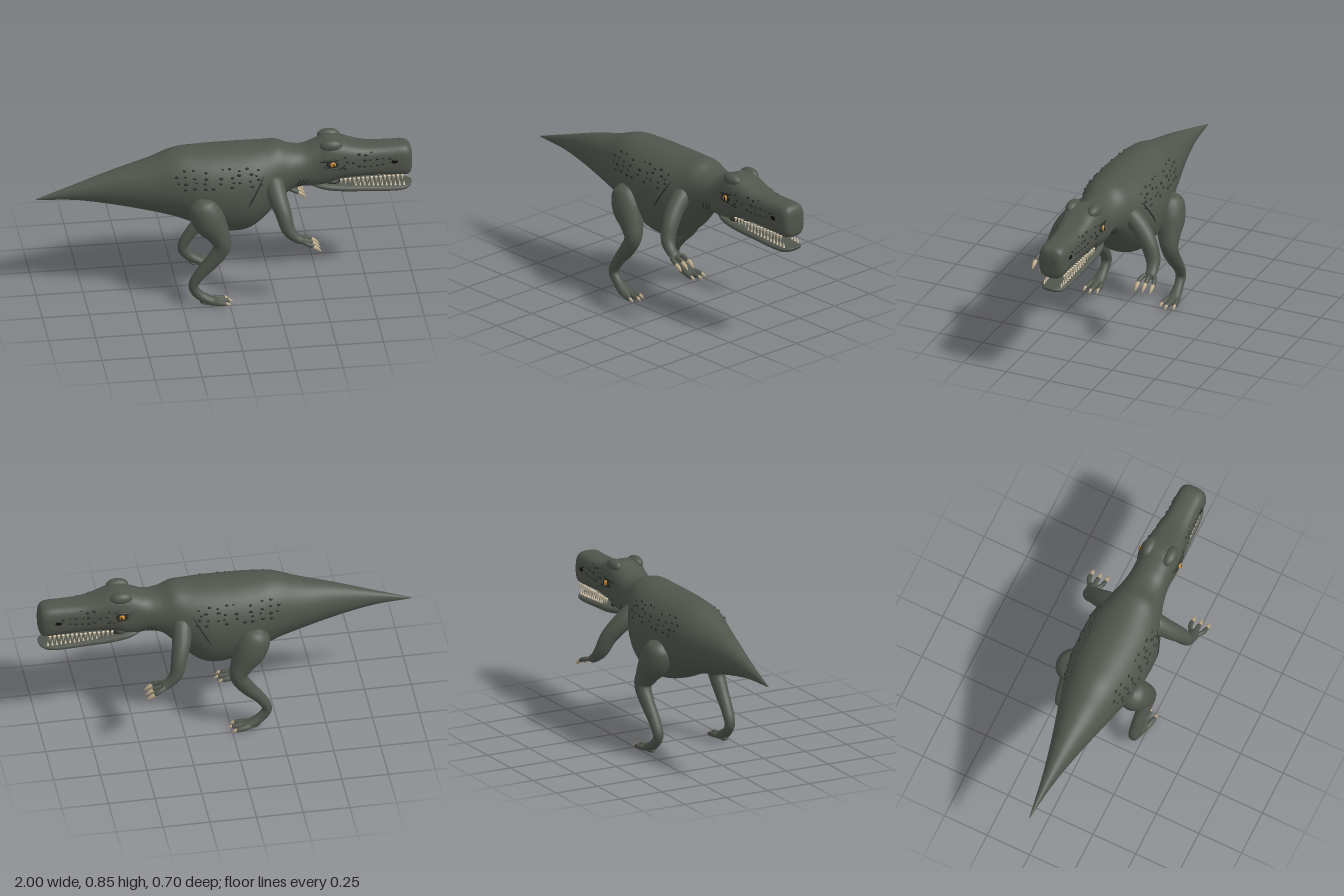
import * as THREE from 'three';

const V = (x, y, z) => new THREE.Vector3(x, y, z);
const mat = (name, color) => Object.assign(new THREE.MeshStandardMaterial({ color }), { name });

// Closed skin over a list of rings, smooth all round
function skin(rings) {
  const n = rings[0].length, index = [];
  const ends = [rings[0], rings[rings.length - 1]].map((r) =>
    r.reduce((s, p) => s.add(p), V(0, 0, 0)).divideScalar(n));
  const pts = [...rings.flat(), ...ends];
  const a = rings.length * n, last = (rings.length - 1) * n;
  for (let j = 0; j < n; j++) {
    const k = (j + 1) % n;
    for (let i = 0; i < rings.length - 1; i++) {
      const p = i * n, q = p + n;
      index.push(p + j, p + k, q + j, p + k, q + k, q + j);
    }
    index.push(a, k, j, a + 1, last + j, last + k);
  }
  const g = new THREE.BufferGeometry().setFromPoints(pts);
  g.setIndex(index);
  g.computeVertexNormals();
  return g;
}

// Rows of [x, top, bottom, half width, squareness] become a smooth profile along x
function profile(rows) {
  const c1 = new THREE.CatmullRomCurve3(rows.map((r) => V(r[0], r[1], r[2])), false, 'catmullrom', 0.5);
  const c2 = new THREE.CatmullRomCurve3(rows.map((r) => V(r[3], r[4], 0)), false, 'catmullrom', 0.5);
  const at = (t) => {
    const p = c1.getPoint(t), q = c2.getPoint(t);
    return { x: p.x, mid: (p.y + p.z) / 2, ry: Math.abs(p.y - p.z) / 2, rz: Math.abs(q.x), n: q.y };
  };
  const pw = (v, e) => Math.sign(v) * Math.pow(Math.abs(v), e);
  const geometry = (steps, sides) => skin(Array.from({ length: steps + 1 }, (_, i) => {
    const s = at(i / steps);
    return Array.from({ length: sides }, (_, j) => {
      const a = (j / sides) * Math.PI * 2;
      return V(s.x, s.mid + s.ry * pw(Math.cos(a), 2 / s.n), s.rz * pw(Math.sin(a), 2 / s.n));
    });
  }));
  // Half width of the surface at a given x and y
  const sideZ = (x, y) => {
    let lo = 0, hi = 1;
    for (let i = 0; i < 24; i++) {
      const m = (lo + hi) / 2;
      if (at(m).x < x) lo = m; else hi = m;
    }
    const s = at(lo), d = Math.min(1, Math.abs(y - s.mid) / s.ry);
    return s.rz * Math.pow(1 - Math.pow(d, s.n), 1 / s.n);
  };
  return { geometry, sideZ };
}

// Tapering limb through rows of [x, y, z, radius, radius along z]
function limb(rows, steps = 32, sides = 18) {
  const path = new THREE.CatmullRomCurve3(rows.map((r) => V(r[0], r[1], r[2])), false, 'catmullrom', 0.5);
  const size = new THREE.CatmullRomCurve3(rows.map((r) => V(r[3], r[4] ?? r[3], 0)), false, 'catmullrom', 0.5);
  return skin(Array.from({ length: steps + 1 }, (_, i) => {
    const t = i / steps, p = path.getPoint(t), r = size.getPoint(t), T = path.getTangent(t);
    const W = V(0, 0, 1).addScaledVector(T, -T.z).normalize(), U = W.clone().cross(T);
    return Array.from({ length: sides }, (_, j) => {
      const a = (j / sides) * Math.PI * 2;
      return p.clone().addScaledVector(U, r.x * Math.cos(a)).addScaledVector(W, r.y * Math.sin(a));
    });
  }));
}

export function createModel() {
  const root = new THREE.Group();
  root.name = 'dinosaur';
  const hide = mat('hide', 0x50554c), dark = mat('dark scales', 0x2b2e29), claw = mat('claw', 0xb9a888);
  const tooth = mat('tooth', 0xd6c8ae), amber = mat('amber eye', 0xc4862a), black = mat('pupil', 0x0c0c0c);
  const add = (parent, name, g, m) => {
    const mesh = new THREE.Mesh(g, m);
    mesh.name = name;
    parent.add(mesh);
    return mesh;
  };

  // Tail, trunk, neck and upper head in one skin
  const body = profile([
    [-1, 0.578, 0.572, 0.003, 2], [-0.8, 0.647, 0.562, 0.032, 2], [-0.6, 0.715, 0.527, 0.075, 2],
    [-0.4, 0.772, 0.48, 0.128, 2], [-0.26, 0.82, 0.438, 0.165, 2], [-0.12, 0.825, 0.38, 0.197, 2.05],
    [0.02, 0.825, 0.342, 0.208, 2.1], [0.12, 0.825, 0.352, 0.205, 2.1], [0.2, 0.827, 0.405, 0.182, 2.1],
    [0.28, 0.83, 0.49, 0.148, 2.1], [0.35, 0.802, 0.556, 0.125, 2.1], [0.42, 0.796, 0.573, 0.11, 2.2],
    [0.49, 0.82, 0.568, 0.104, 2.5], [0.55, 0.844, 0.585, 0.108, 2.7], [0.61, 0.835, 0.608, 0.105, 2.8],
    [0.69, 0.805, 0.614, 0.094, 3], [0.77, 0.788, 0.612, 0.083, 3], [0.87, 0.785, 0.606, 0.078, 3],
    [0.95, 0.785, 0.6, 0.076, 3], [0.983, 0.772, 0.605, 0.066, 3], [0.997, 0.745, 0.625, 0.045, 2.7],
    [1, 0.71, 0.66, 0.02, 2.3],
  ]);
  add(root, 'body', body.geometry(150, 48), hide);

  // Lower jaw
  const jaw = profile([
    [0.44, 0.61, 0.585, 0.06, 2.3], [0.52, 0.605, 0.558, 0.092, 2.5], [0.62, 0.588, 0.54, 0.093, 2.6],
    [0.75, 0.572, 0.528, 0.084, 2.6], [0.88, 0.557, 0.518, 0.077, 2.6], [0.95, 0.552, 0.516, 0.066, 2.5],
    [0.985, 0.55, 0.526, 0.045, 2.3], [1, 0.549, 0.54, 0.015, 2],
  ]);
  add(root, 'lowerJaw', jaw.geometry(48, 32), hide);
  add(root, 'mouthBack', new THREE.SphereGeometry(1, 20, 12).scale(0.06, 0.025, 0.075).translate(0.57, 0.596, 0), dark);

  // Small repeatable variation for the scales
  let seed = 7;
  const rnd = () => (seed = (seed * 16807) % 2147483647) / 2147483647;
  const bumps = [];
  for (let r = 0; r < 4; r++) for (let i = 0; i < 10; i++)
    if (rnd() > 0.2) bumps.push([-0.28 + i * 0.048 + rnd() * 0.025, 0.665 + r * 0.028 + rnd() * 0.014, 0.006 + rnd() * 0.004]);
  for (let r = 0; r < 3; r++) for (let i = 0; i < 8; i++)
    if (rnd() > 0.25) bumps.push([0.63 + i * 0.034 + rnd() * 0.015, 0.69 + r * 0.033 + rnd() * 0.01, 0.005 + rnd() * 0.004]);
  const bumpGeo = new THREE.SphereGeometry(1, 8, 6);

  for (const s of [1, -1]) {
    const side = new THREE.Group();
    side.name = s > 0 ? 'rightSide' : 'leftSide';
    root.add(side);
    const limbAt = (name, rows, m, steps, sides) =>
      add(side, name, limb(rows.map(([x, y, z, a, b]) => [x, y, z * s, a, b]), steps, sides), m);

    // Hind leg
    limbAt('hindLeg', [
      [-0.155, 0.61, 0.165, 0.03, 0.03], [-0.14, 0.57, 0.175, 0.078, 0.075], [-0.105, 0.49, 0.193, 0.088, 0.08],
      [-0.06, 0.415, 0.208, 0.064, 0.062], [-0.037, 0.345, 0.222, 0.046, 0.046], [-0.085, 0.265, 0.222, 0.041, 0.037],
      [-0.15, 0.19, 0.218, 0.031, 0.033], [-0.192, 0.115, 0.216, 0.026, 0.029], [-0.163, 0.062, 0.217, 0.026, 0.026],
      [-0.11, 0.028, 0.22, 0.024, 0.032], [-0.055, 0.014, 0.22, 0.013, 0.033], [-0.04, 0.01, 0.22, 0.004, 0.01],
    ], hide, 60, 24);
    // Toes and toe claws
    for (const [dz, x] of [[-0.034, -0.025], [0, -0.008], [0.037, -0.025]]) {
      limbAt('toe', [[-0.11, 0.02, 0.22 + dz * 0.4, 0.016], [-0.06, 0.018, 0.22 + dz * 0.85, 0.015],
        [x, 0.014, 0.22 + dz, 0.012], [x + 0.006, 0.012, 0.22 + dz, 0.004]], hide, 12, 12);
      limbAt('toeClaw', [[x - 0.008, 0.017, 0.22 + dz, 0.009], [x + 0.012, 0.014, 0.22 + dz * 1.05, 0.008],
        [x + 0.03, 0.004, 0.22 + dz * 1.1, 0.001]], claw, 8, 10);
    }
    limbAt('heelSpur', [[-0.15, 0.02, 0.218, 0.012], [-0.125, 0.008, 0.218, 0.009, 0.02], [-0.07, 0.008, 0.22, 0.007, 0.02]], hide, 8, 12);

    // Arm
    limbAt('arm', [
      [0.25, 0.7, 0.09, 0.02, 0.02], [0.25, 0.66, 0.125, 0.05, 0.05], [0.262, 0.6, 0.193, 0.05, 0.05],
      [0.285, 0.53, 0.25, 0.043, 0.046], [0.305, 0.455, 0.283, 0.036, 0.04], [0.34, 0.413, 0.295, 0.027, 0.031],
      [0.375, 0.392, 0.297, 0.021, 0.03], [0.392, 0.385, 0.297, 0.008, 0.015],
    ], hide, 44, 22);
    // Fingers and claws
    for (const dz of [-0.042, 0, 0.044]) {
      limbAt('finger', [[0.365, 0.395, 0.297 + dz * 0.3, 0.013], [0.395, 0.389, 0.297 + dz * 0.85, 0.012],
        [0.428, 0.374, 0.297 + dz, 0.011], [0.434, 0.37, 0.297 + dz, 0.004]], hide, 12, 12);
      limbAt('fingerClaw', [[0.418, 0.378, 0.297 + dz, 0.009], [0.445, 0.364, 0.297 + dz, 0.011],
        [0.464, 0.349, 0.297 + dz, 0.007], [0.474, 0.338, 0.297 + dz, 0.001]], claw, 10, 10);
    }

    // Brow ridge
    add(side, 'brow', new THREE.SphereGeometry(1, 24, 16).scale(0.06, 0.034, 0.034).translate(0.565, 0.819, 0.062 * s), hide);

    // Eye, lid ring and pupil
    const ez = body.sideZ(0.567, 0.73);
    add(side, 'eyeSocket', new THREE.SphereGeometry(1, 20, 12).scale(0.034, 0.023, 0.007).translate(0.565, 0.729, ez * s), dark);
    add(side, 'eye', new THREE.SphereGeometry(1, 20, 14).scale(0.016, 0.016, 0.015).translate(0.567, 0.729, (ez + 0.002) * s), amber);
    add(side, 'pupil', new THREE.SphereGeometry(1, 12, 10).scale(0.004, 0.011, 0.004).translate(0.57, 0.729, (ez + 0.0145) * s), black);

    // Nostril
    add(side, 'nostril', new THREE.SphereGeometry(1, 14, 10).scale(0.018, 0.012, 0.005)
      .translate(0.9, 0.705, body.sideZ(0.9, 0.705) * s), black);

    // Skin folds laid on the surface: eyelids, flank and neck wrinkles
    const folds = [
      [0.5, 0.742, 0.61, 0.757, 0.006], [0.515, 0.715, 0.6, 0.7, 0.004], [0.6, 0.69, 0.64, 0.72, 0.004],
      [0.105, 0.56, 0.195, 0.72, 0.004], [0.375, 0.6, 0.395, 0.655, 0.003], [0.395, 0.6, 0.415, 0.655, 0.003],
      [0.415, 0.605, 0.432, 0.65, 0.003],
    ];
    for (const [x0, y0, x1, y1, r] of folds)
      limbAt('skinFold', Array.from({ length: 6 }, (_, i) => {
        const x = x0 + (x1 - x0) * i / 5, y = y0 + (y1 - y0) * i / 5;
        return [x, y, body.sideZ(x, y), i % 5 ? r : r * 0.2];
      }), dark, 16, 8);

    // Scales
    for (const [x, y, r] of bumps) {
      const m = add(side, 'scale', bumpGeo, dark);
      m.position.set(x, y, body.sideZ(x, y) * s);
      m.scale.set(r * 1.25, r * 0.85, r * 0.7);
    }

    // Teeth, alternating in length
    for (let i = 0; i < 15; i++) {
      const x = 0.615 + i * 0.0235, h = i % 2 ? 0.03 : 0.022, z = 0.082 - i * 0.0015;
      const up = add(side, 'upperTooth', new THREE.ConeGeometry(0.008, h + 0.012, 8), tooth);
      up.position.set(x, 0.618 - i * 0.0006 - h / 2, z * s);
      up.rotation.x = Math.PI;
      if (i < 3) continue;
      const low = add(side, 'lowerTooth', new THREE.ConeGeometry(0.007, h + 0.008, 8), tooth);
      low.position.set(x + 0.01, 0.58 - i * 0.0017 + h / 4, (z - 0.012) * s);
    }
  }
  return root;
}
